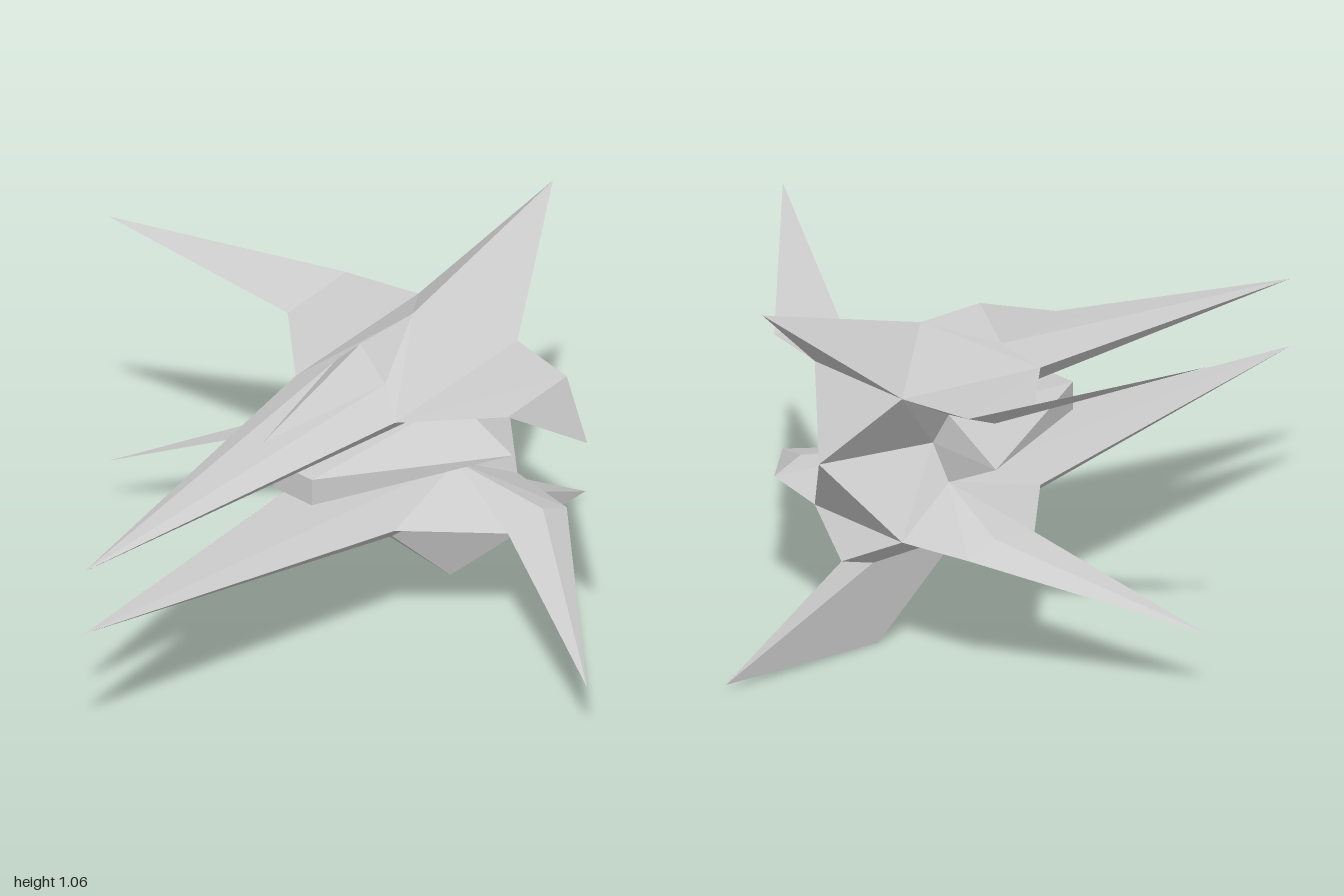
import * as THREE from 'three';
import { ConvexGeometry } from 'three/addons/geometries/ConvexGeometry.js';

const MID = 0.572; // height of the plane that mirrors the upper and lower halves

export function createModel() {
  const ship = new THREE.Group();
  ship.name = 'starfighter';
  const material = new THREE.MeshStandardMaterial({ color: 0xcccccc, flatShading: true });

  const flipX = (pts) => pts.map(([x, y, z]) => [-x, y, z]);
  const flipY = (pts) => pts.map(([x, y, z]) => [x, 2 * MID - y, z]);

  // faceted solid through its corner points
  function solid(name, pts) {
    const geometry = new ConvexGeometry(pts.map((p) => new THREE.Vector3(...p)));
    const mesh = new THREE.Mesh(geometry, material);
    mesh.name = name;
    ship.add(mesh);
  }
  // corner points off the centre line are repeated on the other side
  const both = (pts) => [...pts, ...flipX(pts.filter((p) => p[0] !== 0))];

  // shared corners of the upper half, on the +x side
  const nose = [0, 0.67, 1];
  const rootFront = [0.18, 0.742, -0.04];
  const rootRear = [0.18, 0.78, -0.53];
  const keel = [0.14, 0.67, -0.33];
  const elbowFront = [0.4, 0.755, -0.25];
  const elbowRear = [0.4, 0.778, -0.485];
  const elbowUnder = [0.4, 0.74, -0.39];
  const wingTip = [0.87, 0.957, -0.05];
  const ridge = [0, 0.89, -0.31];
  const canopyFront = [0, 0.75, 0.3];
  const canopySide = [0.09, 0.8, -0.1];

  // four two-piece wings and the two halves of the pinched aft body
  const innerWing = [rootFront, rootRear, keel, elbowFront, elbowRear, elbowUnder];
  const outerWing = [elbowFront, elbowRear, elbowUnder, wingTip];
  const aftBody = both([keel, rootRear, [0.08, MID, -0.335], [0, MID, -0.67]]);
  for (const [level, mapY] of [['upper', (p) => p], ['lower', flipY]]) {
    for (const [side, mapX] of [['Left', (p) => p], ['Right', flipX]]) {
      solid(`${level}${side}InnerWing`, mapX(mapY(innerWing)));
      solid(`${level}${side}OuterWing`, mapX(mapY(outerWing)));
    }
    solid(`${level}AftBody`, mapY(aftBody));
  }

  // upper hull, canopy and raised tail
  solid('upperNose', both([nose, rootFront, keel, canopyFront, canopySide]));
  solid('upperShoulder', both([rootFront, rootRear, canopySide, ridge]));
  solid('canopy', both([canopyFront, canopySide, [0, 0.89, -0.1], ridge]));
  solid('tail', both([ridge, rootRear, [0, 1.057, -0.87]]));

  // lower hull with its ventral fin
  const belly = [[0.025, 0.25, -0.2], [0.025, 0.25, -0.5], [0, 0.27, -0.59]];
  solid('lowerHull', both([...flipY([nose, rootFront, keel, rootRear]), ...belly]));
  solid('ventralFin', both([...belly, [0, 0, -0.46], [0, 0.02, -1]]));

  // central prong between the hulls
  const prong = [[0.07, 0.612, 0.17], keel];
  solid('centralProng', both([...prong, ...flipY(prong), [0.34, MID, -0.335]]));

  return ship;
}
